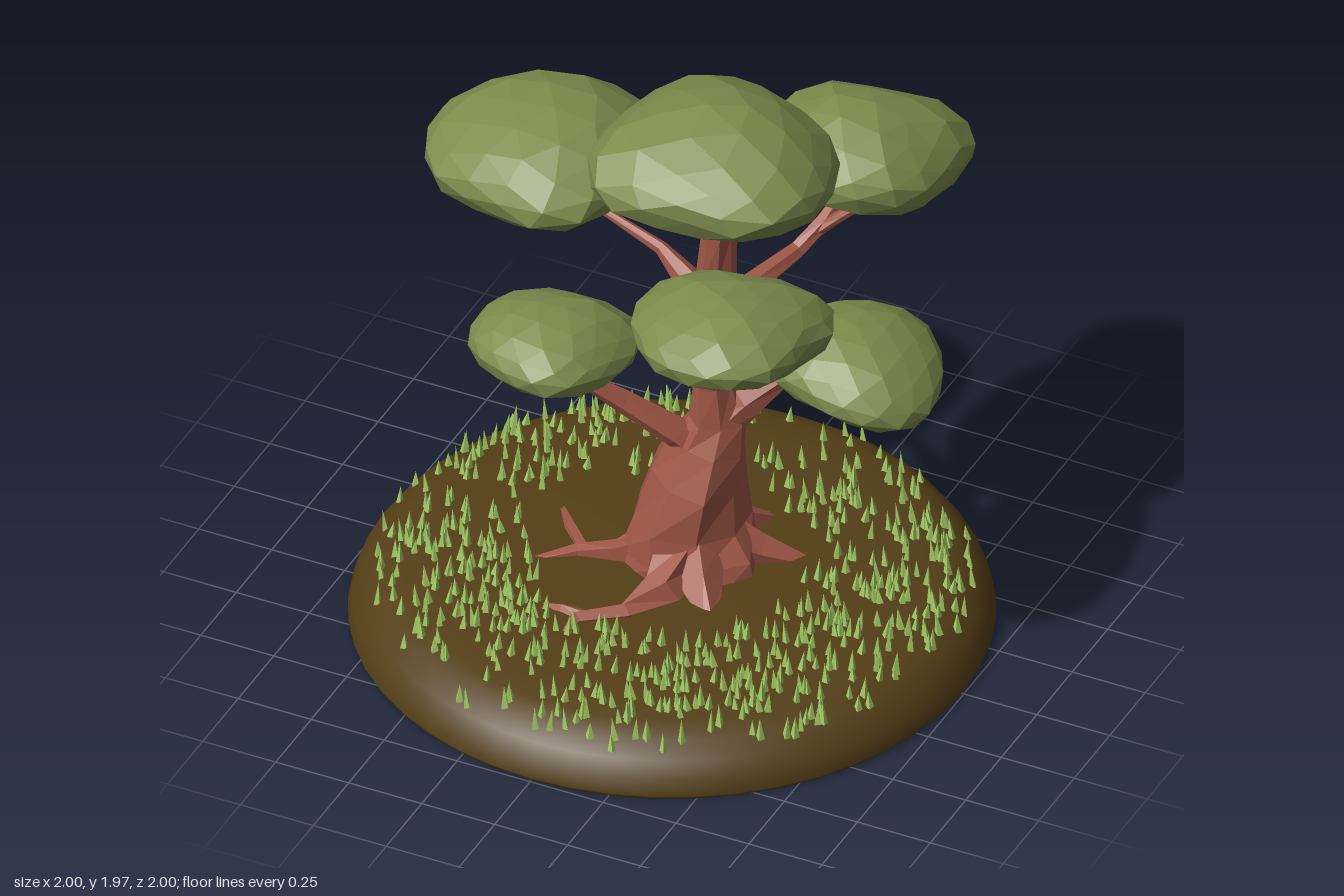
import * as THREE from 'three';
import { mergeGeometries } from 'three/addons/utils/BufferGeometryUtils.js';

const leafMat = new THREE.MeshStandardMaterial({ color: 0x7d8c4c, flatShading: true });
const barkMat = new THREE.MeshStandardMaterial({ color: 0x9e5646, flatShading: true });
const soilMat = new THREE.MeshStandardMaterial({ color: 0x543f17 });
const grassMat = new THREE.MeshStandardMaterial({ color: 0xa4cb64, flatShading: true });

function seeded(seed) {
  return () => {
    seed = (seed * 16807) % 2147483647;
    return seed / 2147483647;
  };
}

function addMesh(parent, name, geometry, material) {
  const mesh = new THREE.Mesh(geometry, material);
  mesh.name = name;
  parent.add(mesh);
}

// Faceted tube through points [x, y, z, radius, depthRadius?]
function limb(points, sides = 6, wobble = 0.08) {
  const up = new THREE.Vector3(0, 1, 0);
  const at = i => new THREE.Vector3(...points[i].slice(0, 3));
  const position = [], index = [], last = points.length - 1;
  points.forEach(([, , , rx, rz = rx], i) => {
    const tangent = at(Math.min(i + 1, last)).sub(at(Math.max(i - 1, 0))).normalize();
    const turn = new THREE.Quaternion().setFromUnitVectors(up, tangent);
    for (let j = 0; j < sides; j++) {
      const a = (j + 0.25) / sides * Math.PI * 2;
      const k = 1.04 + wobble * Math.sin(j * 2.4 + i * 1.7);
      const v = new THREE.Vector3(Math.cos(a) * rx * k, 0, Math.sin(a) * rz * k);
      position.push(...v.applyQuaternion(turn).add(at(i)).toArray());
      if (i < last) {
        const p = i * sides + j, q = i * sides + (j + 1) % sides;
        index.push(p, p + sides, q, q, p + sides, q + sides);
      }
    }
  });
  // Closed end
  for (let j = 1; j < sides - 1; j++) index.push(last * sides, last * sides + j + 1, last * sides + j);
  const g = new THREE.BufferGeometry();
  g.setAttribute('position', new THREE.Float32BufferAttribute(position, 3));
  g.setIndex(index);
  g.computeVertexNormals();
  return g;
}

// Faceted leaf cushion filling the box from min to max; corner is the angle
// of its bulging corner in plan, tiltX and tiltZ raise its +x and +z sides
function cushion({ min, max, corner, tiltX, tiltZ }, seed) {
  const g = new THREE.IcosahedronGeometry(1, 2);
  g.rotateX(seed * 1.3).rotateY(seed * 2.1);
  const p = g.attributes.position, v = new THREE.Vector3();
  for (let i = 0; i < p.count; i++) {
    v.fromBufferAttribute(p, i);
    const { x, y, z } = v;
    const a = Math.atan2(z, x);
    const lump = 1 - 0.03 * Math.cos(4 * a) + 0.06 * Math.cos(3 * (a - corner))
      + 0.04 * Math.sin(5 * x + seed) * Math.cos(4 * z + 3 * y);
    // Flat belly, sharp rim and sloping top
    const height = y < 0 ? 0.62 * Math.tanh(1.9 * y) : Math.pow(y, 1.4);
    const bump = 0.05 * Math.sin(4 * x + seed) * Math.sin(4 * z + 2 * seed);
    p.setXYZ(i, x * lump, height + bump + tiltX * x + tiltZ * z, z * lump);
  }
  g.computeBoundingBox();
  const b = g.boundingBox, size = b.getSize(new THREE.Vector3());
  g.translate(-b.min.x, -b.min.y, -b.min.z);
  g.scale(...[0, 1, 2].map(i => (max[i] - min[i]) / size.getComponent(i)));
  g.translate(...min);
  g.computeVertexNormals();
  return g;
}

export function createModel() {
  const model = new THREE.Group();
  model.name = 'tree';

  // Round mound of soil
  const profile = [[0, 0.015], [0.99, 0.015], [1, 0.03], [0.985, 0.08], [0.95, 0.13],
    [0.9, 0.17], [0.83, 0.195], [0.7, 0.21], [0.4, 0.225], [0, 0.23]];
  const soil = new THREE.LatheGeometry(profile.map(p => new THREE.Vector2(...p)), 48);
  addMesh(model, 'ground', soil, soilMat);

  // Trunk with a flared foot, a waist and a thicker fork
  addMesh(model, 'trunk', limb([
    [0.04, 0.15, -0.05, 0.24, 0.21], [0.04, 0.26, -0.05, 0.205, 0.2], [0.03, 0.36, -0.06, 0.175, 0.185],
    [0.06, 0.52, -0.065, 0.145, 0.16], [0.09, 0.65, -0.08, 0.115, 0.125], [0.115, 0.74, -0.09, 0.085, 0.095],
    [0.105, 0.88, -0.085, 0.067, 0.075], [0.105, 1.02, -0.075, 0.066, 0.07], [0.11, 1.17, -0.07, 0.085, 0.095],
    [0.11, 1.28, -0.08, 0.06, 0.067], [0.12, 1.45, -0.08, 0.052, 0.06], [0.12, 1.72, -0.08, 0.045, 0.055],
  ], 8), barkMat);

  // Branches, each running into one leaf cushion
  const branches = {
    upperRightBranch: [[0.12, 1.04, -0.07, 0.06], [0.03, 1.2, -0.09, 0.045], [-0.1, 1.28, -0.13, 0.02],
      [-0.35, 1.34, -0.17, 0.012], [-0.6, 1.4, -0.2, 0.008]],
    lowerRightBranch: [[0.08, 0.64, -0.06, 0.07], [0.01, 0.7, 0, 0.045], [-0.14, 0.81, 0.06, 0.034],
      [-0.26, 0.91, 0.13, 0.022], [-0.36, 0.98, 0.17, 0.012]],
    lowerLeftBranch: [[0.1, 0.7, -0.09, 0.08], [0.2, 0.81, -0.12, 0.055], [0.3, 0.89, -0.17, 0.03],
      [0.43, 0.94, -0.21, 0.018], [0.58, 0.96, -0.24, 0.012]],
    backBranch: [[0.12, 1.1, -0.08, 0.07], [0.16, 1.17, -0.18, 0.04], [0.24, 1.21, -0.39, 0.027],
      [0.29, 1.28, -0.48, 0.028], [0.33, 1.38, -0.56, 0.012]],
    backTwig: [[0.27, 1.25, -0.45, 0.022], [0.35, 1.32, -0.48, 0.016], [0.46, 1.4, -0.52, 0.008]],
    frontBranch: [[0.12, 1.1, -0.06, 0.06], [0.16, 1.2, 0.02, 0.04], [0.24, 1.28, 0.17, 0.024],
      [0.33, 1.35, 0.32, 0.017], [0.45, 1.43, 0.46, 0.01]],
    frontTwig: [[0.26, 1.3, 0.21, 0.018], [0.37, 1.38, 0.25, 0.012], [0.48, 1.44, 0.29, 0.008]],
    trunkKnot: [[0.11, 0.94, -0.08, 0.05], [0.16, 1.03, -0.1, 0.045], [0.18, 1.14, -0.12, 0.045], [0.16, 1.22, -0.12, 0.03]],
  };
  for (const [name, points] of Object.entries(branches)) addMesh(model, name, limb(points), barkMat);

  // Roots creeping over the soil, some of them forked
  const roots = [
    [[0.05, 0.3, 0.02, 0.1], [0.06, 0.24, 0.2, 0.06], [0, 0.22, 0.33, 0.034], [-0.12, 0.225, 0.43, 0.026], [-0.13, 0.205, 0.51, 0.008]],
    [[-0.1, 0.225, 0.41, 0.024], [-0.18, 0.225, 0.4, 0.018], [-0.28, 0.205, 0.39, 0.008]],
    [[-0.02, 0.28, 0, 0.08], [-0.15, 0.24, 0.07, 0.04], [-0.27, 0.225, 0.11, 0.026], [-0.42, 0.205, 0.22, 0.008]],
    [[-0.25, 0.225, 0.1, 0.024], [-0.35, 0.225, 0, 0.02], [-0.46, 0.205, -0.14, 0.008]],
    [[0.06, 0.31, -0.12, 0.1], [0.13, 0.24, -0.24, 0.055], [0.2, 0.19, -0.36, 0.015]],
    [[0.1, 0.31, -0.06, 0.1], [0.24, 0.24, -0.12, 0.06], [0.39, 0.19, -0.19, 0.018]],
    [[0.08, 0.31, 0, 0.1], [0.16, 0.23, 0.12, 0.07], [0.24, 0.19, 0.22, 0.025]],
  ];
  roots.forEach((points, i) => addMesh(model, 'root' + (i + 1), limb(points, 5), barkMat));

  // Leaf cushions
  const cushions = {
    crown: { min: [-0.22, 1.65, -0.39], max: [0.53, 1.98, 0.35], corner: 2.3, tiltX: -0.05, tiltZ: 0.06 },
    upperRightLeaves: { min: [-0.91, 1.36, -0.54], max: [-0.19, 1.67, 0.16], corner: -0.9, tiltX: 0.08, tiltZ: 0 },
    lowerRightLeaves: { min: [-0.6, 0.93, -0.11], max: [-0.08, 1.17, 0.42], corner: -0.8, tiltX: 0, tiltZ: 0.2 },
    lowerLeftLeaves: { min: [0.3, 0.91, -0.46], max: [0.83, 1.17, 0.07], corner: 0.6, tiltX: -0.3, tiltZ: 0 },
    backLeaves: { min: [0.02, 1.32, -0.96], max: [0.65, 1.66, -0.33], corner: -0.85, tiltX: 0, tiltZ: 0.25 },
    frontLeaves: { min: [0.08, 1.37, 0.11], max: [0.69, 1.63, 0.73], corner: -0.8, tiltX: 0.05, tiltZ: 0.25 },
  };
  Object.entries(cushions).forEach(([name, spec], i) => addMesh(model, name, cushion(spec, i + 1), leafMat));

  // Grass blades scattered around the middles of patches
  const random = seeded(77), blades = [];
  const scatter = () => (random() + random() + random() - 1.5) * 0.42;
  const patches = [[-0.42, -0.64], [-0.7, -0.4], [-0.78, 0.12], [-0.55, 0.45], [-0.3, 0.58], [0.1, 0.7],
    [0.4, 0.5], [0.68, 0.3], [0.82, 0], [0.65, -0.35], [0.4, -0.6]];
  for (const [px, pz] of patches) {
    for (let i = 0; i < 80; i++) {
      const x = px + scatter(), z = pz + scatter(), r = Math.hypot(x, z);
      if (r < 0.43 || r > 0.93) continue;
      const k = profile.findIndex(([pr], j) => j > 2 && pr <= r);
      const [[r0, y0], [r1, y1]] = [profile[k - 1], profile[k]];
      const y = y0 + (y1 - y0) * (r0 - r) / (r0 - r1);
      const h = 0.05 + random() * 0.04;
      const blade = new THREE.ConeGeometry(0.012 + random() * 0.004, h, 4);
      blade.rotateY(random() * 3).rotateZ((random() - 0.5) * 0.3).translate(x, y + h * 0.42, z);
      blades.push(blade);
    }
  }
  addMesh(model, 'grass', mergeGeometries(blades), grassMat);
  return model;
}
